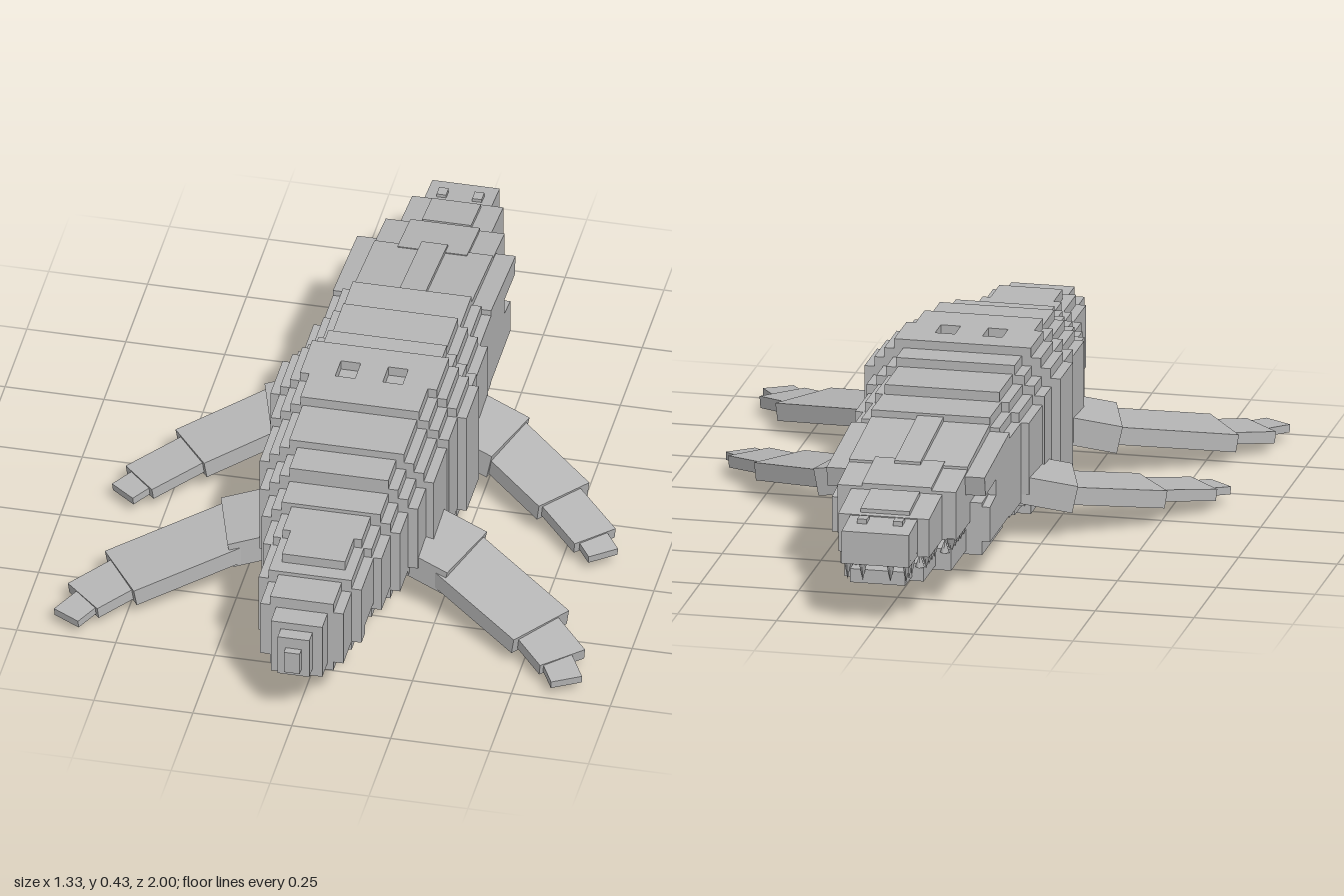
import * as THREE from 'three';

export function createModel() {
  const model = new THREE.Group();
  const grey = new THREE.MeshStandardMaterial({ color: 0xb6b6b6 });
  grey.name = 'plain grey';

  const add = (name, geometry, parent = model) => {
    const mesh = new THREE.Mesh(geometry, grey);
    mesh.name = name;
    parent.add(mesh);
    return mesh;
  };
  // box from its limits
  const box = (name, x0, x1, y0, y1, z0, z1, parent) => {
    const g = new THREE.BoxGeometry(x1 - x0, y1 - y0, z1 - z0);
    g.translate((x0 + x1) / 2, (y0 + y1) / 2, (z0 + z1) / 2);
    return add(name, g, parent);
  };
  // side outline in [z, y], spread evenly across x
  const prism = (name, hw, pts, parent) => {
    const shape = new THREE.Shape(pts.map(([z, y]) => new THREE.Vector2(z, y)));
    const g = new THREE.ExtrudeGeometry(shape, { depth: hw * 2, bevelEnabled: false });
    g.translate(0, 0, -hw).rotateY(-Math.PI / 2);
    return add(name, g, parent);
  };

  // Body: stepped slices [z0, z1, half width, y0, y1, corner steps]
  const body = new THREE.Group();
  body.name = 'body';
  model.add(body);
  const slices = [
    [0.98, 1.0, 0.02, 0.16, 0.22, 0],
    [0.945, 0.98, 0.04, 0.14, 0.25, 0],
    [0.885, 0.945, 0.065, 0.12, 0.27, 0],
    [0.79, 0.885, 0.105, 0.10, 0.30, 1],
    [0.75, 0.79, 0.13, 0.10, 0.31, 1],
    [0.65, 0.75, 0.13, 0.10, 0.335, 2],
    [0.55, 0.65, 0.15, 0.08, 0.335, 2],
    [0.46, 0.55, 0.175, 0.07, 0.345, 2],
    [0.37, 0.46, 0.2, 0.055, 0.385, 3],
    [0.22, 0.37, 0.22, 0.03, 0.405, 3],
    [0.12, 0.22, 0.225, 0.005, 0.43, 3],
    [-0.02, 0.12, 0.248, 0, 0.43, 3],
    [-0.1, -0.02, 0.225, 0.02, 0.408, 3],
    [-0.25, -0.1, 0.22, 0.05, 0.385, 3],
    [-0.38, -0.25, 0.2, 0.055, 0.36, 2],
  ];
  for (const [z0, z1, hw, y0, y1, steps] of slices) {
    for (let i = 0; i <= steps; i++) {
      const inset = i * 0.025, drop = (steps - i) * 0.025;
      const holed = z0 === -0.02 && i === steps;
      box('bodySlice', -hw + inset, hw - inset, y0 + drop, holed ? 0.404 : y1 - drop, z0, z1, body);
    }
  }
  // Back plate with two blowhole slots
  const plate = new THREE.Shape();
  plate.moveTo(-0.173, -0.12).lineTo(0.173, -0.12).lineTo(0.173, 0.02).lineTo(-0.173, 0.02);
  for (const x of [-0.06, 0.06]) {
    const slot = new THREE.Path();
    slot.moveTo(x - 0.025, -0.115).lineTo(x - 0.025, -0.05).lineTo(x + 0.025, -0.05).lineTo(x + 0.025, -0.115);
    plate.holes.push(slot);
  }
  const plateGeo = new THREE.ExtrudeGeometry(plate, { depth: 0.026, bevelEnabled: false });
  plateGeo.rotateX(-Math.PI / 2).translate(0, 0.404, 0);
  add('backPlate', plateGeo, body);

  // Head: skull with eye hollows under the brow
  const head = new THREE.Group();
  head.name = 'head';
  model.add(head);
  prism('skullCore', 0.15, [[-0.37, 0.08], [-0.37, 0.34], [-0.76, 0.285], [-0.76, 0.16], [-0.6, 0.16], [-0.6, 0.08]], head);
  prism('cheeks', 0.18, [[-0.37, 0.075], [-0.37, 0.22], [-0.6, 0.21], [-0.6, 0.075]], head);
  prism('temples', 0.2, [[-0.38, 0.11], [-0.38, 0.31], [-0.53, 0.29], [-0.53, 0.21], [-0.6, 0.2], [-0.6, 0.11]], head);
  prism('brow', 0.2, [[-0.38, 0.26], [-0.38, 0.325], [-0.66, 0.295], [-0.65, 0.245]], head);
  prism('crown', 0.15, [[-0.36, 0.3], [-0.36, 0.345], [-0.63, 0.31], [-0.63, 0.28]], head);
  prism('crest', 0.033, [[-0.37, 0.33], [-0.37, 0.355], [-0.64, 0.318], [-0.64, 0.29]], head);
  prism('snoutRidge', 0.088, [[-0.61, 0.28], [-0.61, 0.315], [-0.76, 0.293], [-0.76, 0.26]], head);
  prism('upperJaw', 0.115, [[-0.74, 0.16], [-0.74, 0.28], [-0.905, 0.258], [-0.905, 0.16]], head);
  prism('snoutPlate', 0.062, [[-0.775, 0.25], [-0.775, 0.286], [-0.89, 0.27], [-0.89, 0.24]], head);
  prism('snoutTip', 0.085, [[-0.9, 0.16], [-0.9, 0.256], [-1, 0.244], [-1, 0.16]], head);

  // Lower jaw, narrowing towards the front
  box('jawRear', -0.14, 0.14, 0.085, 0.14, -0.77, -0.58, head);
  box('jawMiddle', -0.1, 0.1, 0.095, 0.14, -0.9, -0.76, head);
  box('jawFront', -0.07, 0.07, 0.105, 0.14, -0.975, -0.89, head);

  // Teeth
  const tooth = (x, y, z, h, up) => {
    const g = new THREE.ConeGeometry(0.012, h, 4);
    if (!up) g.rotateX(Math.PI);
    g.translate(x, y, z);
    add('tooth', g.toNonIndexed(), head);
  };
  for (const s of [-1, 1]) {
    box('nostril', s * 0.045 - 0.012, s * 0.045 + 0.012, 0.24, 0.262, -0.95, -0.92, head);
    for (let i = 0; i < 12; i++) {
      const z = -0.63 - i * 0.032;
      const hw = z > -0.76 ? 0.137 : z > -0.9 ? 0.103 : 0.074;
      tooth(s * hw, 0.145, z, i > 8 ? 0.06 : 0.04, false);
      if (z > -0.95) tooth(s * (hw - 0.012), 0.15, z - 0.016, 0.035, true);
    }
    tooth(s * 0.035, 0.142, -0.985, 0.05, false);
  }

  // Flippers: drooping flat segments [x0, z0, x1, z1, width, thickness]
  const heightAt = (x) => 0.125 - 0.225 * (x - 0.22);
  const flippers = {
    foreFlipper: [
      [0.17, -0.16, 0.3, -0.12, 0.19, 0.07],
      [0.27, -0.14, 0.47, 0.02, 0.16, 0.045],
      [0.44, 0, 0.575, 0.135, 0.12, 0.03],
      [0.55, 0.11, 0.607, 0.183, 0.08, 0.02],
    ],
    rearFlipper: [
      [0.17, 0.34, 0.3, 0.38, 0.2, 0.07],
      [0.26, 0.365, 0.53, 0.555, 0.185, 0.045],
      [0.5, 0.535, 0.605, 0.645, 0.13, 0.03],
      [0.57, 0.61, 0.632, 0.718, 0.08, 0.02],
    ],
  };
  for (const [name, segments] of Object.entries(flippers)) {
    for (const s of [1, -1]) {
      const flipper = new THREE.Group();
      flipper.name = (s > 0 ? 'left ' : 'right ') + name;
      model.add(flipper);
      for (const [x0, z0, x1, z1, width, thick] of segments) {
        const a = new THREE.Vector3(s * x0, heightAt(x0), z0);
        const b = new THREE.Vector3(s * x1, heightAt(x1), z1);
        const along = b.clone().sub(a);
        const g = new THREE.BoxGeometry(along.length(), thick, width);
        along.normalize();
        const across = new THREE.Vector3().crossVectors(along, new THREE.Vector3(0, 1, 0)).normalize();
        const up = new THREE.Vector3().crossVectors(across, along);
        g.applyMatrix4(new THREE.Matrix4().makeBasis(along, up, across));
        g.translate(...a.add(b).multiplyScalar(0.5).toArray());
        add('flipperSegment', g, flipper);
      }
    }
  }
  return model;
}
